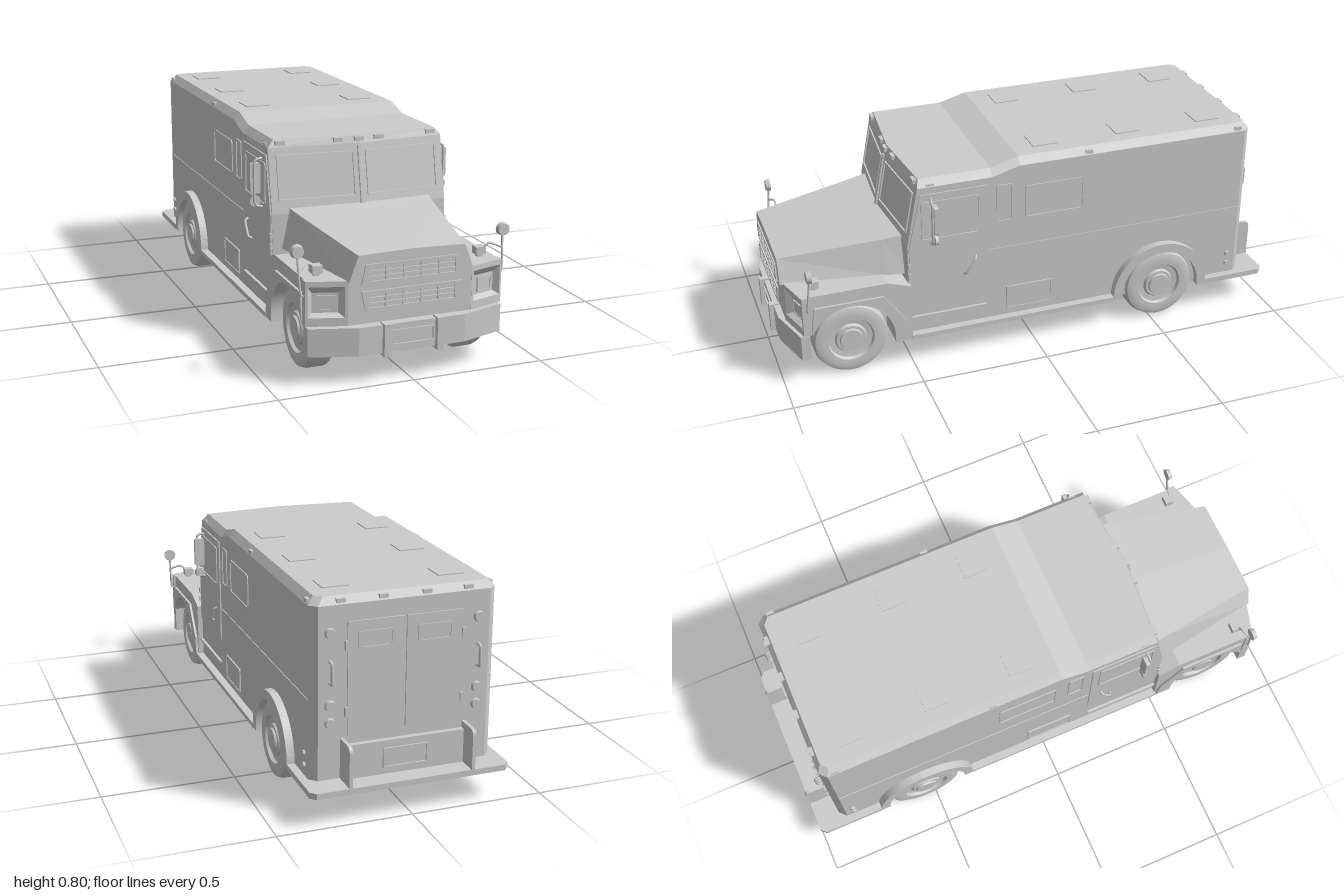
import * as THREE from 'three';
import { toCreasedNormals } from 'three/addons/utils/BufferGeometryUtils.js';

const mat = new THREE.MeshStandardMaterial({ color: 0xcccccc, side: THREE.DoubleSide });

function add(parent, name, geo, x = 0, y = 0, z = 0) {
  const m = new THREE.Mesh(geo, mat);
  m.name = name;
  m.position.set(x, y, z);
  parent.add(m);
  return m;
}
const box = (w, h, d) => new THREE.BoxGeometry(w, h, d);
const disc = (r, d) => new THREE.CylinderGeometry(r * 0.85, r, d, 20);
const poly = (pts) => new THREE.Shape(pts.map((p) => new THREE.Vector2(p[0], p[1])));
const extrude = (shape, depth) => new THREE.ExtrudeGeometry(shape, { depth, bevelEnabled: false, curveSegments: 20 });
// (z, y) profile pushed across x0..x1
const sideways = (shape, x0, x1) => extrude(shape, x1 - x0).rotateY(-Math.PI / 2).translate(x1, 0, 0);
// (x, z) outline pushed up from y0
const upward = (pts, y0, h) => extrude(poly(pts.map(([x, z]) => [x, -z])), h).rotateX(-Math.PI / 2).translate(0, y0, 0);
const tube = (pts, r) => new THREE.TubeGeometry(new THREE.CatmullRomCurve3(pts.map((p) => new THREE.Vector3(...p)), false, 'catmullrom', 0.2), 24, r, 8);

// skin over closed rings, with strip caps
function loft(rings, capStart = true) {
  const pos = [], n = rings[0].length;
  const quad = (a, b, c, d) => pos.push(...a, ...b, ...c, ...a, ...c, ...d);
  for (let i = 0; i < rings.length - 1; i++)
    for (let j = 0; j < n; j++) {
      const k = (j + 1) % n;
      quad(rings[i][j], rings[i][k], rings[i + 1][k], rings[i + 1][j]);
    }
  const s = rings[0], e = rings[rings.length - 1];
  for (let j = 0; j < n / 2 - 1; j++) {
    quad(e[j], e[j + 1], e[n - 2 - j], e[n - 1 - j]);
    if (capStart) quad(s[n - 1 - j], s[n - 2 - j], s[j + 1], s[j]);
  }
  const g = new THREE.BufferGeometry();
  g.setAttribute('position', new THREE.Float32BufferAttribute(pos, 3));
  g.computeVertexNormals();
  return g;
}
const mirrored = (half) => [...half, ...half.slice().reverse().map(([x, y, z]) => [-x, y, z])];

function moveZ(geo, rule) {
  const p = geo.attributes.position;
  for (let i = 0; i < p.count; i++) p.setZ(i, rule(p.getX(i), p.getY(i), p.getZ(i)));
  geo.computeVertexNormals();
  return geo;
}
// the nose sweeps back towards its sides
const sweep = (x, y, z) => (z > 0.93 ? z - Math.max(0, Math.abs(x) - 0.2) * 0.3 : z);

function roundRect(w, h, r, C = THREE.Shape) {
  const s = new C(), a = w / 2, b = h / 2;
  s.moveTo(a - r, -b);
  s.absarc(a - r, -b + r, r, -Math.PI / 2, 0);
  s.absarc(a - r, b - r, r, 0, Math.PI / 2);
  s.absarc(-a + r, b - r, r, Math.PI / 2, Math.PI);
  s.absarc(-a + r, -b + r, r, Math.PI, Math.PI * 1.5);
  return s;
}
function frame(w, h, t = 0.006, depth = 0.005, r = 0.01) {
  const s = roundRect(w, h, r);
  s.holes.push(roundRect(w - 2 * t, h - 2 * t, r * 0.6, THREE.Path));
  return extrude(s, depth);
}

function wheel(parent, name, x, z) {
  const pts = [[0, -0.105], [0.1, -0.105], [0.135, -0.1], [0.145, -0.085], [0.145, -0.025], [0.138, -0.006], [0.12, 0],
    [0.1, -0.002], [0.09, -0.002], [0.084, -0.014], [0.062, -0.016], [0.056, -0.006], [0.045, -0.006], [0.042, 0.002], [0, 0.002]];
  const g = new THREE.LatheGeometry(pts.map((p) => new THREE.Vector2(...p)), 48).rotateZ(-Math.PI / 2);
  add(parent, name, toCreasedNormals(g, 0.6), x, 0.145, z);
}

function grille(parent, name, y0, y1, bottom, top) {
  const s = poly([[-bottom, y0], [bottom, y0], [top, y1], [-top, y1]]);
  const cw = 0.066, ch = (y1 - y0 - 0.014) / 3;
  for (let c = -2; c <= 2; c++)
    for (let r = 0; r < 3; r++) {
      const x = c * cw, y = y0 + 0.007 + (r + 0.5) * ch, a = cw / 2 - 0.003, b = ch / 2 - 0.002;
      s.holes.push(new THREE.Path([[x - a, y - b], [x - a, y + b], [x + a, y + b], [x + a, y - b]].map((p) => new THREE.Vector2(...p))));
    }
  add(parent, name, extrude(s, 0.006), 0, 0, 0.969);
}

// everything that exists once on each flank, built for +x
function buildSide() {
  const g = new THREE.Group();
  wheel(g, 'frontWheel', 0.345, 0.735);
  wheel(g, 'rearWheel', 0.365, -0.535);

  // front fender with wheel arch, and its raised flare
  const fender = poly([[0.57, 0.115], [0.5, 0.115], [0.5, 0.345], [0.59, 0.375], [0.94, 0.375], [0.94, 0.215], [0.884, 0.215]]);
  fender.absarc(0.735, 0.145, 0.165, 0.438, Math.PI, false);
  add(g, 'fender', moveZ(sideways(fender, 0.235, 0.366), sweep));
  const flare = poly([[0.57, 0.115], [0.505, 0.115], [0.52, 0.2], [0.61, 0.325], [0.875, 0.325], [0.888, 0.215], [0.884, 0.215]]);
  flare.absarc(0.735, 0.145, 0.165, 0.438, Math.PI, false);
  add(g, 'fenderFlare', sideways(flare, 0.36, 0.375));

  // headlight panel with a funnel recess
  const rect = (x0, x1, y0, y1, z) => [[x1, y0, z], [x1, y1, z], [x0, y1, z], [x0, y0, z]].map(([x, y, w]) => [x, y, sweep(x, y, w)]);
  add(g, 'headlightPanel', loft([rect(0.234, 0.373, 0.215, 0.375, 0.94), rect(0.234, 0.373, 0.215, 0.375, 0.97),
    rect(0.243, 0.365, 0.245, 0.355, 0.97), rect(0.258, 0.345, 0.258, 0.33, 0.95)]));
  add(g, 'headlight', frame(0.068, 0.056, 0.005, 0.012, 0.004), 0.3, 0.293, 0.913).rotation.y = 0.29;
  add(g, 'headlightLens', box(0.06, 0.05, 0.008), 0.3, 0.293, 0.919).rotation.y = 0.29;
  add(g, 'turnLamp', box(0.038, 0.028, 0.035), 0.312, 0.399, 0.86);
  add(g, 'turnLampFoot', box(0.02, 0.015, 0.02), 0.312, 0.38, 0.86);

  // rear arch flare
  const arch = new THREE.Shape();
  arch.absarc(-0.535, 0.13, 0.203, 0, Math.PI, false);
  arch.lineTo(-0.738, 0.115);
  arch.lineTo(-0.7, 0.115);
  arch.absarc(-0.535, 0.13, 0.165, Math.PI, 0, true);
  arch.lineTo(-0.37, 0.115);
  arch.lineTo(-0.332, 0.115);
  add(g, 'rearArch', sideways(arch, 0.34, 0.375));

  // flank panels
  add(g, 'runningBoard', box(0.04, 0.018, 0.84), 0.355, 0.121, 0.085);
  add(g, 'cabStep', box(0.012, 0.008, 0.31), 0.35, 0.195, 0.35);
  add(g, 'beltRail', box(0.006, 0.006, 1.06), 0.345, 0.43, -0.345);
  add(g, 'door', sideways(poly([[0.19, 0.295], [0.5, 0.295], [0.5, 0.49], [0.452, 0.71], [0.19, 0.71]]), 0.34, 0.35));
  const win = (name, z0, z1, y0, y1, x, r) => add(g, name, frame(z1 - z0, y1 - y0, 0.006, 0.006, r).rotateY(Math.PI / 2), x, (y0 + y1) / 2, (z0 + z1) / 2);
  win('doorWindow', 0.22, 0.45, 0.52, 0.68, 0.348, 0.012);
  win('slimWindow', 0.09, 0.155, 0.545, 0.7, 0.343, 0.01);
  win('sideWindow', -0.2, 0.04, 0.545, 0.68, 0.343, 0.015);
  win('hatchRim', -0.075, 0.115, 0.155, 0.255, 0.345, 0.004);
  add(g, 'sideHatch', box(0.01, 0.09, 0.18), 0.343, 0.205, 0.02);
  add(g, 'doorHandle', tube([[0.348, 0.35, 0.285], [0.364, 0.36, 0.278], [0.364, 0.41, 0.245], [0.348, 0.42, 0.238]], 0.005));
  for (const z of [0.27, 0.4]) add(g, 'doorHinge', box(0.01, 0.02, 0.012), 0.35, 0.5 - z * 0.3, 0.5);
  for (const [y, z] of [[0.74, 0.41], [0.777, -0.22], [0.777, -0.85]]) add(g, 'sideMarker', box(0.012, 0.014, 0.03), 0.337, y, z);
  for (const y of [0.175, 0.22]) add(g, 'sideReflector', disc(0.012, 0.01).rotateZ(-Math.PI / 2), 0.348, y, -0.845);

  // door mirror on its bracket
  add(g, 'mirrorArm', tube([[0.342, 0.69, 0.41], [0.37, 0.69, 0.415], [0.382, 0.675, 0.415], [0.382, 0.53, 0.415], [0.37, 0.512, 0.415], [0.342, 0.508, 0.41]], 0.005));
  add(g, 'doorMirror', extrude(roundRect(0.04, 0.115, 0.008), 0.016), 0.376, 0.616, 0.395);
  add(g, 'roundMirror', disc(0.021, 0.012).rotateX(-Math.PI / 2), 0.376, 0.53, 0.402);

  // fender mirror on its stalk
  add(g, 'fenderMirrorStalk', tube([[0.36, 0.318, 0.9], [0.378, 0.32, 0.9], [0.384, 0.335, 0.9], [0.39, 0.47, 0.885]], 0.004));
  add(g, 'stalkBrace', tube([[0.315, 0.4, 0.87], [0.345, 0.425, 0.875], [0.386, 0.41, 0.892]], 0.004));
  add(g, 'fenderMirror', disc(0.025, 0.018).rotateX(Math.PI / 2), 0.39, 0.475, 0.89);

  // windscreen pane following the raked, angled front
  const rake = (x, y) => 0.505 - (0.045 * (y - 0.5)) / 0.235 + 0.03 * (1 - Math.abs(x) / 0.345);
  add(g, 'windscreen', moveZ(frame(0.295, 0.165, 0.006, 0.008, 0.004).translate(0.17, 0.628, 0), (x, y, z) => z + rake(x, y) - 0.002));

  // bumper guard, roof hatches and rear fittings
  add(g, 'bumperGuard', box(0.026, 0.118, 0.04), 0.1, 0.157, 0.98);
  for (const z of [-0.07, -0.41, -0.75]) add(g, 'roofHatch', box(0.098, 0.01, 0.098), 0.216, 0.794, z);
  add(g, 'rearDoor', box(0.208, 0.41, 0.012), 0.108, 0.5, -0.905);
  add(g, 'rearDoorWindow', frame(0.13, 0.065, 0.008, 0.006, 0.008).rotateY(Math.PI), 0.11, 0.635, -0.909);
  for (const y of [0.38, 0.62]) add(g, 'rearHinge', box(0.012, 0.035, 0.014), 0.216, y, -0.91);
  for (const y of [0.67, 0.41, 0.345]) add(g, 'tailLamp', disc(0.02, 0.014).rotateX(-Math.PI / 2), 0.275, y, -0.91);
  add(g, 'grabHandle', tube([[0.275, 0.57, -0.9], [0.275, 0.565, -0.928], [0.275, 0.495, -0.928], [0.275, 0.49, -0.9]], 0.006));
  for (const x of [0.08, 0.235]) add(g, 'rearRoofMarker', box(0.034, 0.014, 0.016), x, 0.78, -0.897);
  for (const x of [0.08, 0.3]) add(g, 'frontRoofMarker', box(0.036, 0.016, 0.02), x, 0.753, 0.485 - x * 0.087);
  const wing = poly([[-0.9, 0.13], [-1, 0.13], [-1, 0.26]]);
  wing.quadraticCurveTo(-1, 0.285, -0.975, 0.285);
  wing.lineTo(-0.9, 0.285);
  add(g, 'stepWing', sideways(wing, 0.224, 0.237));
  return g;
}

export function createModel() {
  const model = new THREE.Group();
  model.name = 'armouredTruck';

  // main shell: stacked plan outlines, the roof stepping up behind the cab
  const roofY = (z) => (z > 0.1 ? 0.765 : 0.795);
  const outline = (zf, inset, height) => mirrored([[0, zf + 0.03], [0.345 - inset, zf], [0.345 - inset, 0.17], [0.345 - inset, 0.06],
    [0.345 - inset, -0.878 + inset * 0.6], [0.318 - inset, -0.905 + inset * 0.8]].map(([x, z]) => [x, height(z), z]));
  add(model, 'body', loft([outline(0.505, 0, () => 0.115), outline(0.505, 0, () => 0.5),
    outline(0.46, 0, (z) => roofY(z) - 0.028), outline(0.45, 0.024, roofY)]));

  // hood and nose
  const hoodRing = (b, t, y, z) => mirrored([[b, 0.37, z], [t, y, z], [0, y + 0.006, z]]);
  add(model, 'hood', loft([hoodRing(0.31, 0.28, 0.52, 0.495), hoodRing(0.298, 0.266, 0.508, 0.58), hoodRing(0.235, 0.2, 0.463, 0.97)]));
  add(model, 'nose', moveZ(sideways(poly([[0.5, 0.115], [0.88, 0.115], [0.9, 0.215], [0.97, 0.215], [0.97, 0.375], [0.5, 0.375]]), -0.237, 0.237), sweep));
  grille(model, 'upperGrille', 0.36, 0.43, 0.19, 0.175);
  grille(model, 'lowerGrille', 0.265, 0.335, 0.175, 0.19);

  // bumper with plate holder
  add(model, 'bumper', upward([[-0.368, 0.895], [0.368, 0.895], [0.368, 0.93], [0.2, 0.982], [-0.2, 0.982], [-0.368, 0.93]], 0.108, 0.102));
  add(model, 'frontPlate', frame(0.162, 0.056, 0.005, 0.008, 0.003), 0, 0.16, 0.98);
  add(model, 'centreRoofMarker', box(0.036, 0.016, 0.02), 0, 0.753, 0.485);
  add(model, 'windscreenPost', box(0.016, 0.22, 0.012), 0, 0.62, 0.513).rotation.x = -0.19;

  // rear step
  add(model, 'rearStep', upward([[-0.375, -0.738], [-0.375, -0.98], [-0.355, -1], [0.355, -1], [0.375, -0.98], [0.375, -0.738]], 0.112, 0.022));
  add(model, 'stepBackPanel', box(0.46, 0.13, 0.025), 0, 0.195, -0.913);
  add(model, 'rearPlate', frame(0.17, 0.075, 0.006, 0.008, 0.004).rotateY(Math.PI), 0, 0.195, -0.924);

  const left = buildSide();
  left.name = 'leftSide';
  const right = left.clone();
  right.name = 'rightSide';
  right.scale.x = -1;
  model.add(left, right);
  return model;
}
